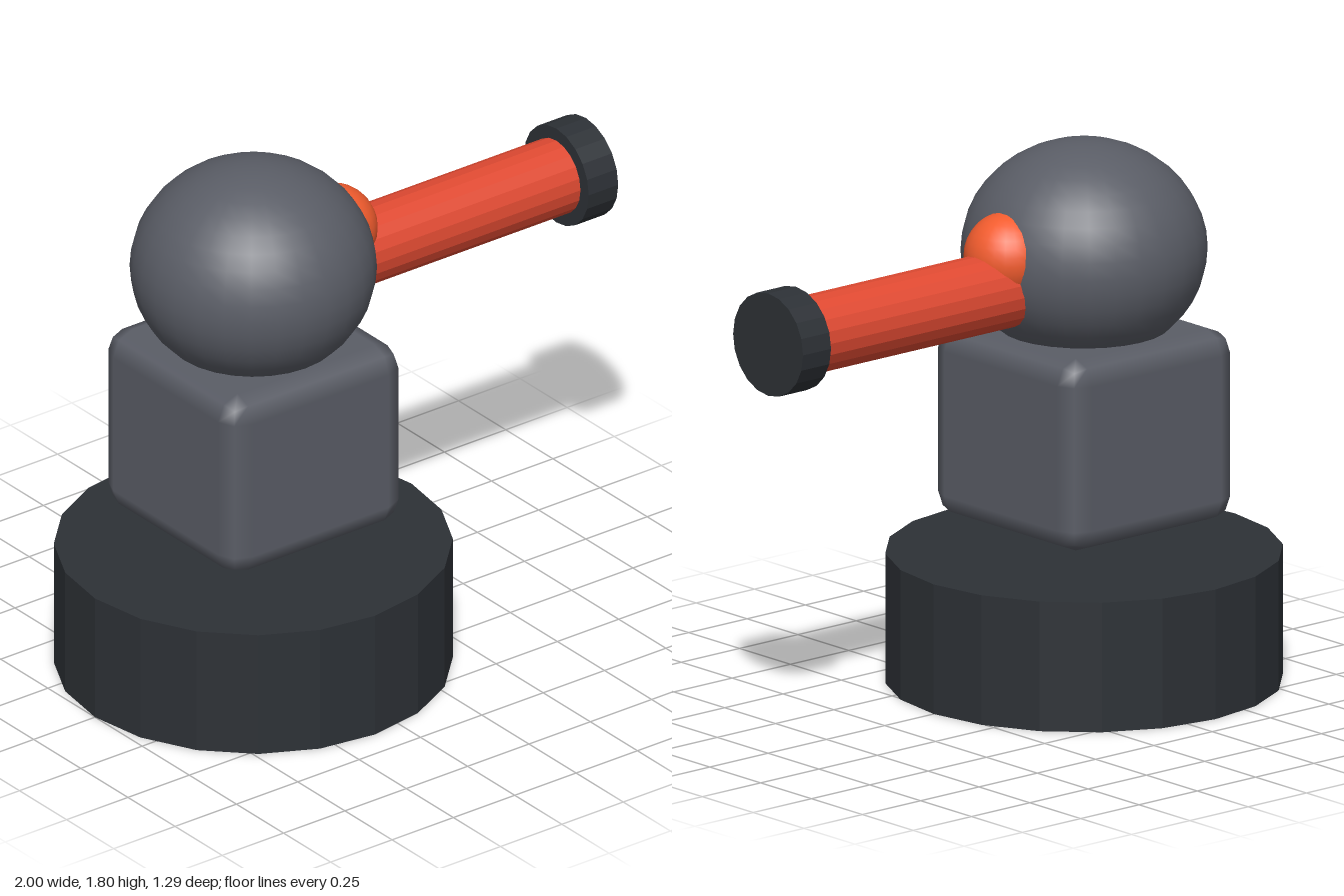
import * as THREE from 'three';
import { RoundedBoxGeometry } from 'three/addons/geometries/RoundedBoxGeometry.js';

const CX = -0.355; // axis of the base, body and head

function material(color, flatShading = false) {
  return new THREE.MeshStandardMaterial({ color, flatShading });
}

export function createModel() {
  const model = new THREE.Group();
  const dark = material(0x2d3136, true);
  const grey = material(0x5a5d66);
  const red = material(0xe04a32, true);
  const orange = material(0xf25c2e);

  function add(name, geometry, mat, x, y) {
    const mesh = new THREE.Mesh(geometry, mat);
    mesh.name = name;
    mesh.position.set(x, y, 0);
    model.add(mesh);
    return mesh;
  }

  // Cylinder lying along x between two positions
  function rod(name, radius, x0, x1, y, mat) {
    const geometry = new THREE.CylinderGeometry(radius, radius, x1 - x0, 20);
    geometry.rotateZ(-Math.PI / 2);
    return add(name, geometry, mat, (x0 + x1) / 2, y);
  }

  // Faceted drum base, with a gap below the body
  add('base', new THREE.CylinderGeometry(0.645, 0.645, 0.435, 20), dark, CX, 0.2175);

  // Body block with soft edges
  add('body', new RoundedBoxGeometry(0.715, 0.645, 0.715, 1, 0.08), grey, CX, 0.8625);

  // Slightly flattened round head
  add('head', new THREE.SphereGeometry(0.4, 28, 20), grey, CX, 1.445).scale.y = 0.9;

  // Ball joint, arm and end cap
  add('joint', new THREE.SphereGeometry(0.145, 24, 16), orange, -0.03, 1.48);
  rod('arm', 0.128, -0.08, 0.9, 1.372, red);
  rod('armCap', 0.172, 0.88, 1, 1.372, dark);

  return model;
}
